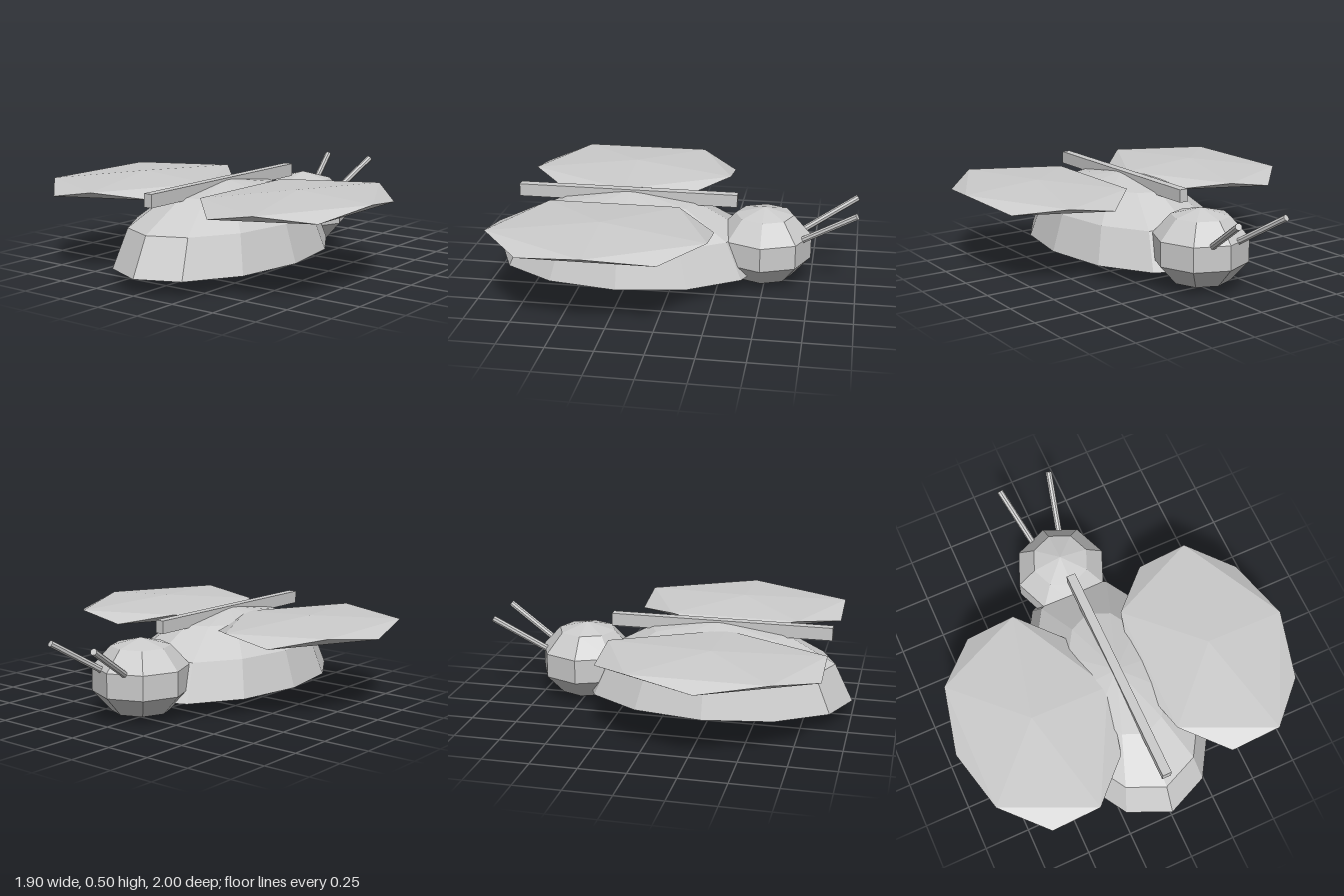
import * as THREE from 'three';

const grey = () => new THREE.MeshStandardMaterial({ color: 0xcccccc, flatShading: true });

export function createModel() {
  const model = new THREE.Group();
  const add = (name, geometry, x, y, z, material = grey()) => {
    const mesh = new THREE.Mesh(geometry, material);
    mesh.name = name;
    mesh.position.set(x, y, z);
    model.add(mesh);
    return mesh;
  };

  // Hollow half-dome shell, open underneath
  const shellMaterial = grey();
  shellMaterial.side = THREE.DoubleSide;
  const dome = new THREE.SphereGeometry(1, 12, 3, 0, Math.PI * 2, 0, Math.PI / 2);
  dome.scale(0.46, 0.405, 0.745);
  add('bodyShell', dome, 0, 0.085, 0.255, shellMaterial);

  // Faceted round head at the -z end
  const head = new THREE.SphereGeometry(1, 8, 5);
  head.scale(0.268, 0.215, 0.272);
  add('head', head, 0, 0.215, -0.49);

  // Ridge bar along the back
  add('backRidge', new THREE.BoxGeometry(0.05, 0.07, 1.22), 0, 0.46, 0.27);

  for (const [side, s] of [['left', 1], ['right', -1]]) {
    // Flattened icosahedron wing, one vertex pointing straight up
    const wing = new THREE.IcosahedronGeometry(1, 0);
    wing.rotateZ(-Math.atan(2 / (1 + Math.sqrt(5))));
    wing.scale(0.488, 0.053, 0.676);
    add(side + 'Wing', wing, s * 0.515, 0.437, 0.315);

    // Slanted antenna rod
    const base = new THREE.Vector3(s * 0.082, 0.282, -0.705);
    const tip = new THREE.Vector3(s * 0.15, 0.458, -0.99);
    const axis = tip.clone().sub(base);
    const mid = base.clone().add(tip).multiplyScalar(0.5);
    const rod = new THREE.CylinderGeometry(0.018, 0.018, axis.length(), 8);
    add(side + 'Antenna', rod, mid.x, mid.y, mid.z)
      .quaternion.setFromUnitVectors(new THREE.Vector3(0, 1, 0), axis.normalize());
  }
  return model;
}
